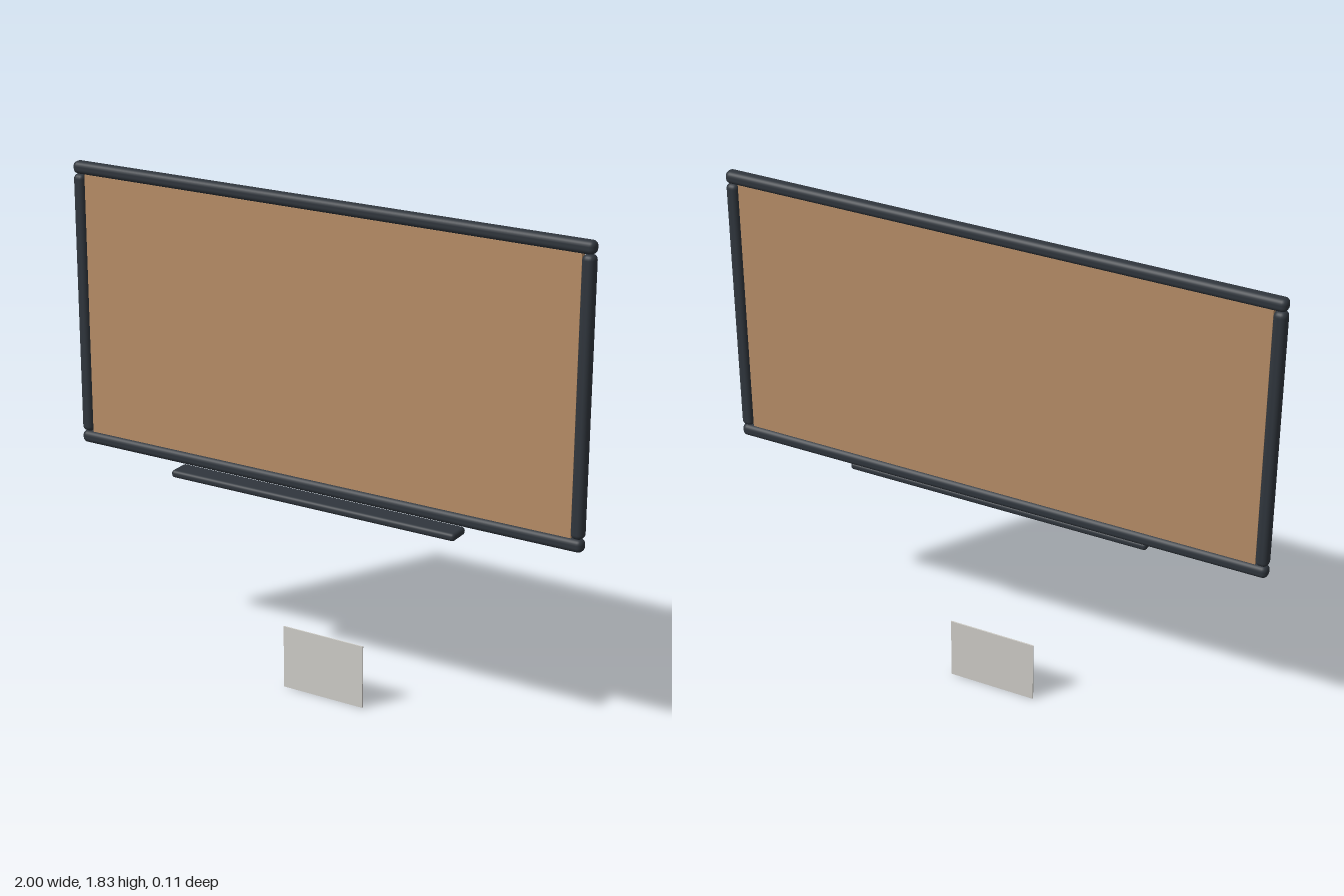
import * as THREE from 'three';
import { RoundedBoxGeometry } from 'three/addons/geometries/RoundedBoxGeometry.js';

export function createModel() {
  const model = new THREE.Group();
  model.name = 'wallBoard';

  const frameMat = new THREE.MeshStandardMaterial({ color: 0x30363d });
  const corkMat = new THREE.MeshStandardMaterial({ color: 0xb98f68 });
  const plateMat = new THREE.MeshStandardMaterial({ color: 0xd0cec9 });

  const add = (name, geometry, material, x, y, z) => {
    const mesh = new THREE.Mesh(geometry, material);
    mesh.name = name;
    mesh.position.set(x, y, z);
    model.add(mesh);
  };

  const rail = 0.045; // square section of the frame
  const bevel = 0.018;
  const bottom = 0.79;
  const top = 1.834;
  const midY = (bottom + top) / 2;
  const frameZ = -0.028;
  const innerW = 2 - 2 * rail;
  const innerH = top - bottom - 2 * rail;

  // Pinboard panel set in the middle of the frame depth
  add('board', new THREE.BoxGeometry(innerW, innerH, 0.02), corkMat, 0, midY, frameZ);

  // Rounded frame: long rails above and below, short rails between them
  const longRail = new RoundedBoxGeometry(2, rail, rail, 3, bevel);
  add('topRail', longRail, frameMat, 0, top - rail / 2, frameZ);
  add('bottomRail', longRail, frameMat, 0, bottom + rail / 2, frameZ);
  const sideRail = new RoundedBoxGeometry(rail, innerH, rail, 3, bevel);
  add('leftRail', sideRail, frameMat, 1 - rail / 2, midY, frameZ);
  add('rightRail', sideRail, frameMat, -1 + rail / 2, midY, frameZ);

  // Shallow tray under the frame, reaching forward
  add('tray', new RoundedBoxGeometry(1.134, 0.028, 0.086, 3, 0.012), frameMat, 0, 0.773, 0.01);

  // Small thin wall plate near the floor
  add('wallPlate', new THREE.BoxGeometry(0.326, 0.238, 0.005), plateMat, 0, 0.119, -0.051);

  return model;
}
